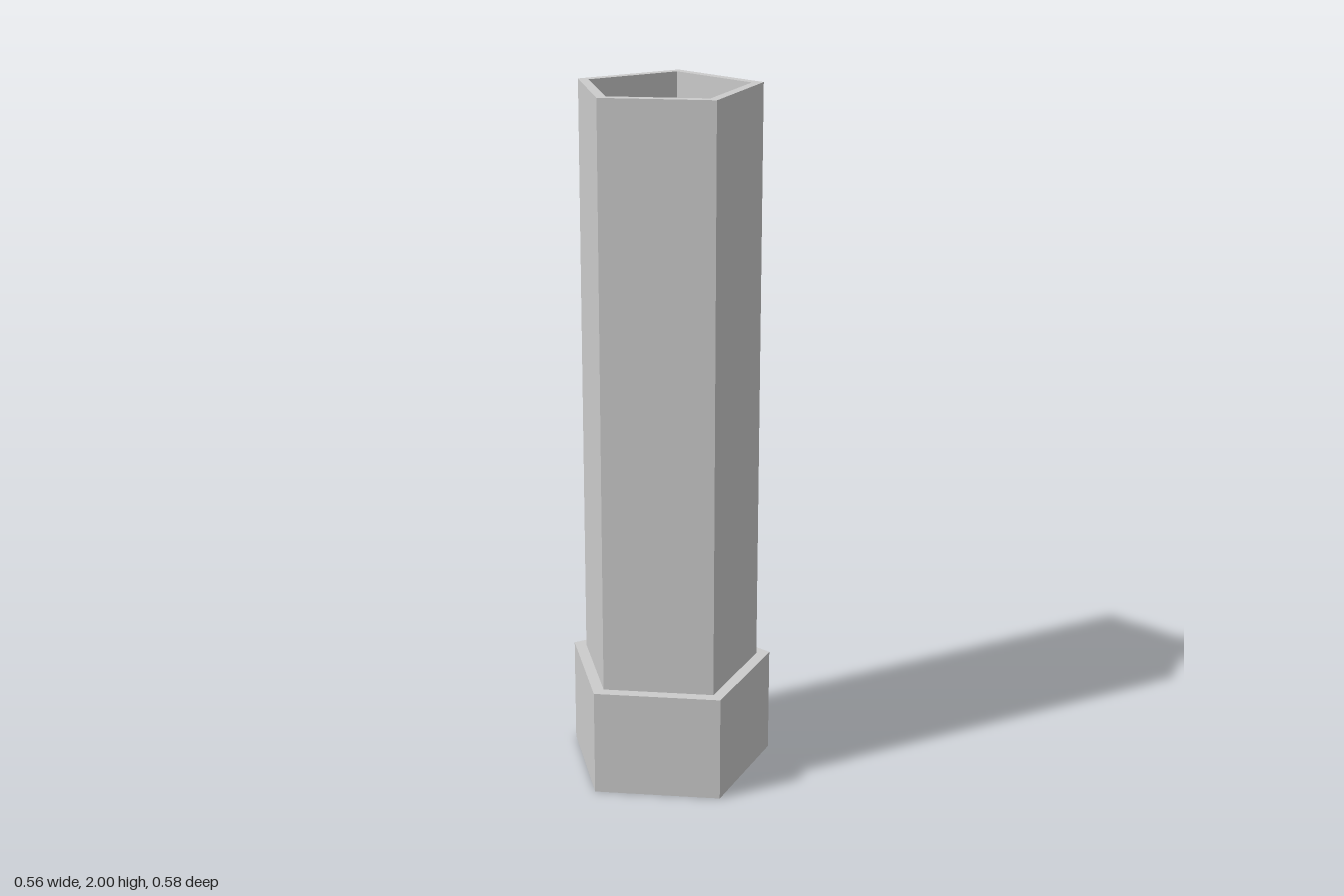
import * as THREE from 'three';

const SIDES = 5;
const BORE = 0.2345, PIPE = 0.2675, COLLAR = 0.307;   // corner radii
const COLLAR_TOP = 0.31, HEIGHT = 2;
const AXIS_X = -0.03;   // centres the pentagon's x extent on 0

const material = new THREE.MeshStandardMaterial({ color: 0xcccccc, flatShading: true });

// Sweep an [radius, y] profile around a pentagon with one corner towards +x
function pentagonSweep(name, profile) {
  const points = profile.map(([r, y]) => new THREE.Vector2(r, y));
  const geometry = new THREE.LatheGeometry(points, SIDES, Math.PI / 2).toNonIndexed();
  geometry.computeVertexNormals();
  const mesh = new THREE.Mesh(geometry, material);
  mesh.name = name;
  mesh.position.x = AXIS_X;
  return mesh;
}

export function createModel() {
  const model = new THREE.Group();
  model.name = 'pentagonalPipe';

  // Long hollow shaft: outer wall, top rim, bore
  model.add(pentagonSweep('shaft', [
    [PIPE, COLLAR_TOP], [PIPE, HEIGHT], [BORE, HEIGHT], [BORE, COLLAR_TOP],
  ]));

  // Wider base collar: bore, bottom rim, outer wall, ledge meeting the shaft
  model.add(pentagonSweep('baseCollar', [
    [BORE, COLLAR_TOP], [BORE, 0], [COLLAR, 0], [COLLAR, COLLAR_TOP], [PIPE, COLLAR_TOP],
  ]));

  return model;
}
